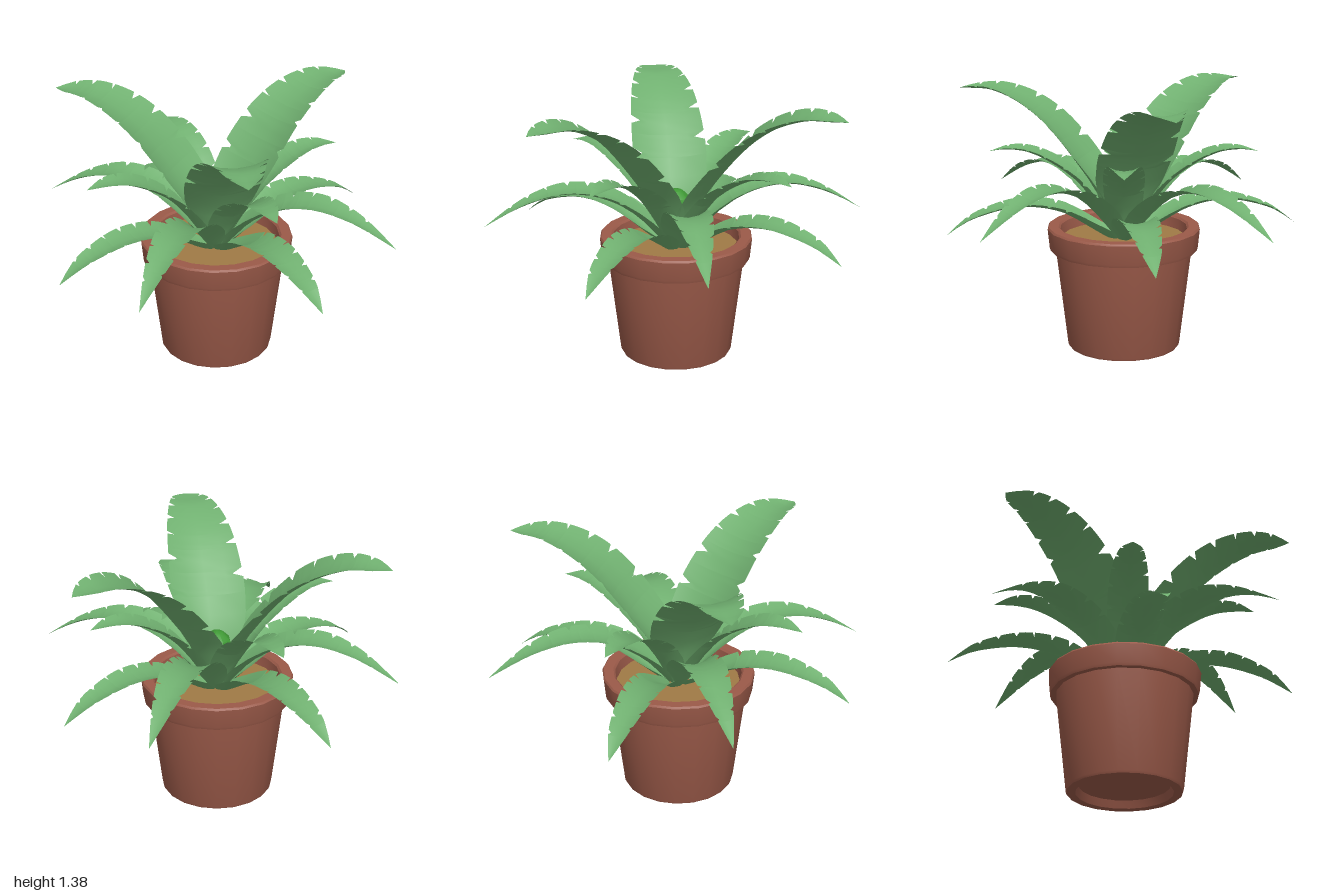
import * as THREE from 'three';
import { toCreasedNormals } from 'three/addons/utils/BufferGeometryUtils.js';

const mat = (color, side = THREE.FrontSide) => new THREE.MeshStandardMaterial({ color, side });
const clay = mat(0x9b5a49);
const earth = mat(0xa07a45);
const leafGreen = mat(0x70b070, THREE.DoubleSide);
const budGreen = mat(0x3f9a35);

function addMesh(parent, name, geometry, material) {
  const mesh = new THREE.Mesh(geometry, material);
  mesh.name = name;
  parent.add(mesh);
  return mesh;
}

function lathe(points, sides) {
  const profile = points.map(([r, y]) => new THREE.Vector2(r, y));
  return toCreasedNormals(new THREE.LatheGeometry(profile, sides), 0.6);
}

// Arching blade along +x. Each profile entry is [reach, height, half width].
function leafGeometry(profile, channel, notchCount) {
  const spine = new THREE.CatmullRomCurve3(profile.map((p) => new THREE.Vector3(...p)));
  const columns = [-1, -0.55, 0, 0.55, 1];

  // Rows along the blade, with extra rows around every torn notch
  const rows = [];
  for (let i = 0; i <= 14; i++) rows.push({ t: i / 14, notch: 0 });
  for (let i = 0; i < notchCount; i++) {
    for (const side of [-1, 1]) {
      const t = 0.3 + (0.6 * i) / notchCount + (side > 0 ? 0.043 : 0);
      rows.push({ t: t - 0.013, notch: 0 }, { t, notch: side }, { t: t + 0.013, notch: 0 });
    }
  }
  rows.sort((a, b) => a.t - b.t);

  const positions = [];
  const index = [];
  rows.forEach(({ t, notch }, i) => {
    const p = spine.getPoint(t);
    const d = spine.getTangent(t);
    const len = Math.hypot(d.x, d.y);
    const width = Math.max(0, p.z);
    columns.forEach((s, j) => {
      const across = s === notch && notch !== 0 ? s * 0.74 : s;
      // Edges curl up into a channel that flattens toward the tip
      const lift = channel * (1 - 0.85 * t) * (across * across - 0.5) * Math.min(1, width / 0.06);
      positions.push(p.x - (d.y / len) * lift, p.y + (d.x / len) * lift, across * width);
      if (i < rows.length - 1 && j < columns.length - 1) {
        const a = i * columns.length + j;
        const b = a + columns.length;
        index.push(a, a + 1, b, b, a + 1, b + 1);
      }
    });
  });
  const geometry = new THREE.BufferGeometry();
  geometry.setAttribute('position', new THREE.Float32BufferAttribute(positions, 3));
  geometry.setIndex(index);
  geometry.computeVertexNormals();
  return geometry;
}

// Ring of identical leaves at the given angles in degrees
function leafRing(name, geometry, angles, reach = () => 1) {
  const ring = new THREE.Group();
  ring.name = name + 's';
  angles.forEach((angle, i) => {
    const leaf = addMesh(ring, name, geometry, leafGreen);
    leaf.rotation.y = THREE.MathUtils.degToRad(angle);
    leaf.scale.x = reach(i);
  });
  return ring;
}

export function createModel() {
  const model = new THREE.Group();
  model.name = 'pottedPlant';

  // Pot with recessed base and a thick rim
  addMesh(model, 'pot', lathe([
    [0, 0.04], [0.235, 0.04], [0.25, 0], [0.295, 0], [0.3, 0.012], [0.36, 0.53],
    [0.388, 0.53], [0.393, 0.545], [0.403, 0.645], [0.396, 0.655], [0.345, 0.655],
    [0.335, 0.645], [0.325, 0.57],
  ], 20), clay);

  // Soil
  const soil = addMesh(model, 'soil', new THREE.CircleGeometry(0.33, 20), earth);
  soil.rotation.x = -Math.PI / 2;
  soil.position.y = 0.59;

  // Bud at the heart of the plant
  addMesh(model, 'bud', lathe([
    [0.03, 0.59], [0.06, 0.7], [0.085, 0.8], [0.07, 0.86], [0.035, 0.895], [0, 0.905],
  ], 8), budGreen);

  // Three tall broad leaves
  model.add(leafRing('tallLeaf', leafGeometry([
    [0.03, 0.6, 0.05], [0.1, 0.83, 0.16], [0.22, 1.01, 0.195], [0.4, 1.21, 0.185],
    [0.55, 1.31, 0.16], [0.7, 1.36, 0.12], [0.82, 1.36, 0.075], [0.9, 1.35, 0],
  ], 0.07, 6), [60, 180, 300]));

  // Four middle leaves on the diagonals
  model.add(leafRing('middleLeaf', leafGeometry([
    [0.03, 0.6, 0.04], [0.11, 0.75, 0.09], [0.24, 0.91, 0.105], [0.38, 1.01, 0.1],
    [0.5, 1.06, 0.08], [0.61, 1.068, 0.05], [0.7, 1.05, 0],
  ], 0.05, 5), [45, 135, 225, 315]));

  // Four long leaves on the axes
  model.add(leafRing('longLeaf', leafGeometry([
    [0.03, 0.6, 0.05], [0.15, 0.74, 0.1], [0.29, 0.85, 0.11], [0.44, 0.91, 0.105],
    [0.59, 0.922, 0.093], [0.74, 0.885, 0.068], [0.87, 0.825, 0.038], [1, 0.745, 0],
  ], 0.05, 6), [0, 90, 180, 270], (i) => (i % 2 ? 1 : 0.967)));

  // Four low drooping leaves
  model.add(leafRing('lowLeaf', leafGeometry([
    [0.04, 0.59, 0.05], [0.17, 0.67, 0.09], [0.3, 0.745, 0.105], [0.43, 0.782, 0.1],
    [0.56, 0.788, 0.09], [0.69, 0.762, 0.072], [0.82, 0.712, 0.045], [0.927, 0.635, 0],
  ], 0.05, 6), [-36, 54, 144, 234]));

  return model;
}
